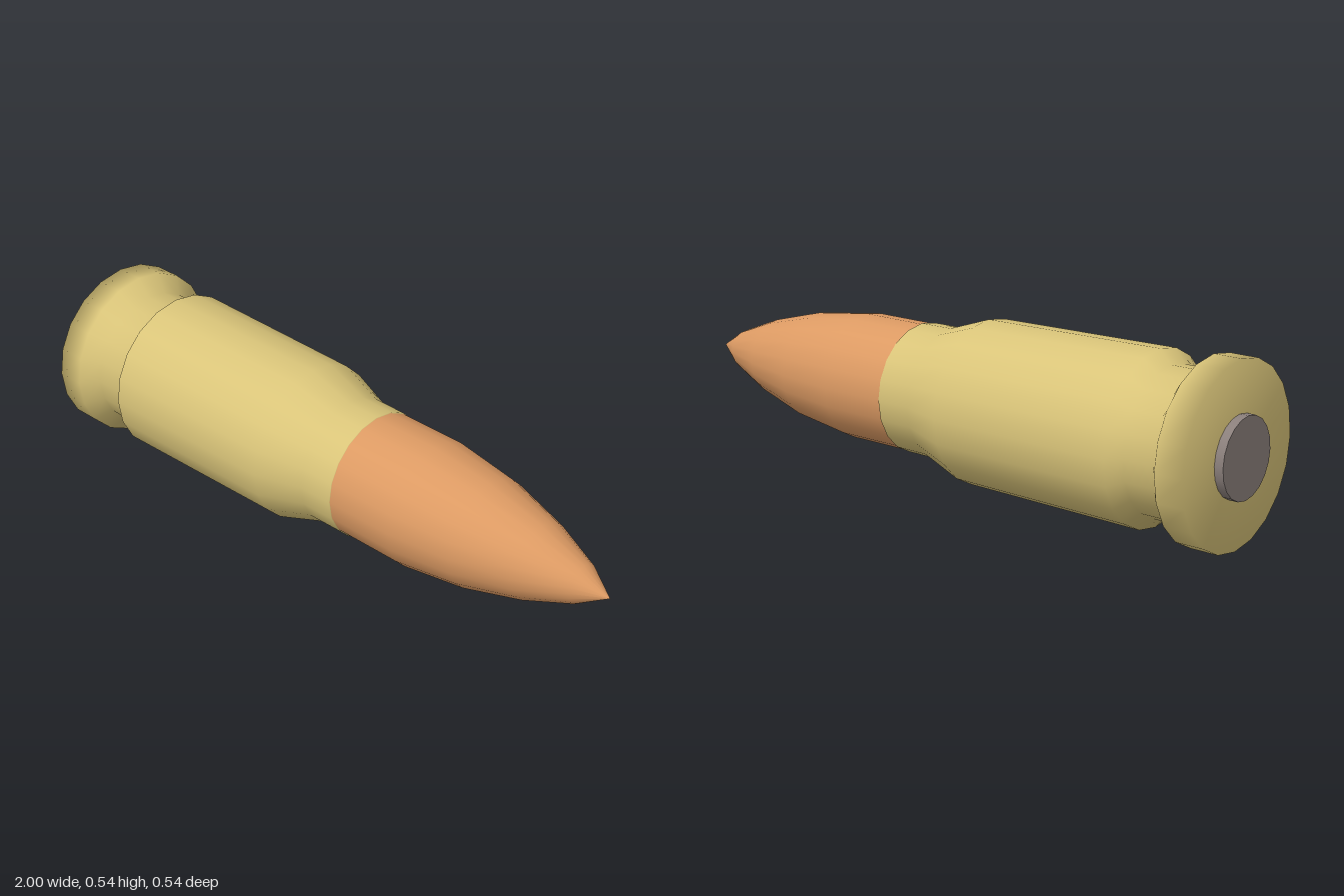
import * as THREE from 'three';

const SIDES = 20;
const AXIS_Y = 0.27;

// Turned part along the x axis from [x, radius] stations
function turned(name, stations, material) {
  const points = stations.map(([x, r]) => new THREE.Vector2(r, x));
  const geometry = new THREE.LatheGeometry(points, SIDES);
  geometry.rotateZ(-Math.PI / 2);
  const mesh = new THREE.Mesh(geometry, material);
  mesh.name = name;
  mesh.position.y = AXIS_Y;
  return mesh;
}

export function createModel() {
  const brass = new THREE.MeshStandardMaterial({ name: 'brass', color: 0xd9c479 });
  const copper = new THREE.MeshStandardMaterial({ name: 'copper', color: 0xdc9a63 });
  const steel = new THREE.MeshStandardMaterial({ name: 'primer grey', color: 0x8a7f7b });

  const model = new THREE.Group();
  model.name = 'cartridge';

  // Case: rim, extractor groove, tapered body, shoulder, neck and mouth
  model.add(turned('case', [
    [-0.973, 0], [-0.973, 0.27], [-0.885, 0.27], [-0.845, 0.217], [-0.75, 0.217],
    [-0.714, 0.257], [-0.115, 0.249], [0.03, 0.2], [0.142, 0.199], [0.142, 0.19],
  ], brass));

  // Bullet: straight shank and pointed ogive
  model.add(turned('bullet', [
    [0.13, 0.196], [0.366, 0.196], [0.57, 0.169], [0.757, 0.119], [0.906, 0.06], [1, 0],
  ], copper));

  // Primer disc standing out of the base
  const disc = new THREE.CylinderGeometry(0.119, 0.119, 0.04, SIDES);
  disc.rotateZ(-Math.PI / 2);
  const primer = new THREE.Mesh(disc, steel);
  primer.name = 'primer';
  primer.position.set(-0.98, AXIS_Y, 0);
  model.add(primer);

  return model;
}
